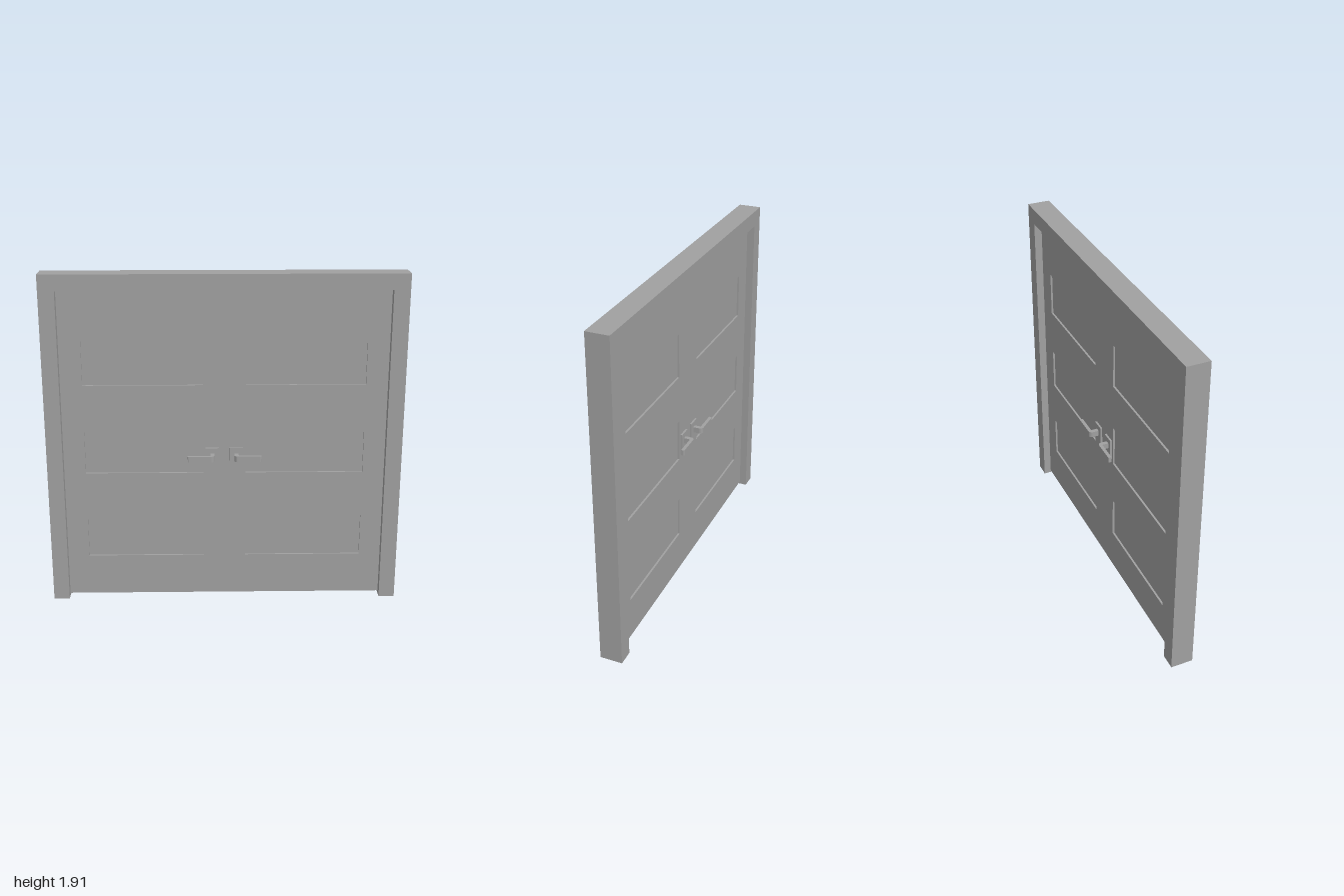
import * as THREE from 'three';

const FRAME = { half: 1, top: 1.91, depth: 0.128 };
const DOOR = { half: 0.91, bottom: 0.015, top: 1.82, depth: 0.04 };
const PANEL = { inner: 0.12, outer: 0.788, rows: [[0.256, 0.501], [0.768, 1.013], [1.285, 1.541]] };

function polygon(points, Type = THREE.Shape) {
  return new Type(points.map(([x, y]) => new THREE.Vector2(x, y)));
}

function rectangle(x0, x1, y0, y1, Type) {
  return polygon([[x0, y0], [x1, y0], [x1, y1], [x0, y1]], Type);
}

// Extrusion centred on z = 0
function slab(shape, depth) {
  const geometry = new THREE.ExtrudeGeometry(shape, { depth, bevelEnabled: false, curveSegments: 5 });
  return geometry.translate(0, 0, -depth / 2);
}

export function createModel() {
  const model = new THREE.Group();
  model.name = 'doubleDoor';
  const grey = new THREE.MeshStandardMaterial({ color: 0xa0a0a0 });
  grey.name = 'plain grey';

  const add = (parent, name, geometry) => {
    const mesh = new THREE.Mesh(geometry, grey);
    mesh.name = name;
    parent.add(mesh);
    return mesh;
  };

  // Surrounding frame: two jambs and a head
  add(model, 'frame', slab(polygon([
    [-FRAME.half, 0], [-DOOR.half, 0], [-DOOR.half, DOOR.top], [DOOR.half, DOOR.top],
    [DOOR.half, 0], [FRAME.half, 0], [FRAME.half, FRAME.top], [-FRAME.half, FRAME.top],
  ]), FRAME.depth));

  // Door slab with openings, filled by thinner recessed panels
  const doorShape = rectangle(-DOOR.half, DOOR.half, DOOR.bottom, DOOR.top);
  for (const side of [-1, 1]) {
    for (const [y0, y1] of PANEL.rows) {
      const [x0, x1] = [side * PANEL.inner, side * PANEL.outer].sort((a, b) => a - b);
      doorShape.holes.push(rectangle(x0, x1, y0, y1, THREE.Path));
      add(model, 'recessedPanel', slab(rectangle(x0, x1, y0, y1), 0.018));
    }
  }
  add(model, 'doorLeaves', slab(doorShape, DOOR.depth));

  // Lever outline seen from above (x, z): stem bending into the grip
  const lever = new THREE.Shape();
  lever.moveTo(0.056, 0.025);
  lever.lineTo(0.08, 0.025);
  lever.lineTo(0.08, 0.067);
  lever.lineTo(0.207, 0.067);
  lever.lineTo(0.207, 0.08);
  lever.quadraticCurveTo(0.207, 0.086, 0.199, 0.086);
  lever.lineTo(0.076, 0.086);
  lever.quadraticCurveTo(0.062, 0.086, 0.056, 0.07);
  lever.closePath();
  const leverGeometry = slab(lever, 0.033).rotateX(Math.PI / 2).translate(0, 0.87, 0);
  const plateGeometry = new THREE.BoxGeometry(0.076, 0.127, 0.012).translate(0.068, 0.855, 0.025);

  // One handle per leaf on each face
  for (const face of [1, -1]) {
    for (const side of [1, -1]) {
      const handle = new THREE.Group();
      handle.name = (face > 0 ? 'front' : 'back') + (side > 0 ? 'Left' : 'Right') + 'Handle';
      add(handle, 'backplate', plateGeometry);
      add(handle, 'lever', leverGeometry);
      handle.scale.set(side, 1, face);
      model.add(handle);
    }
  }
  return model;
}
